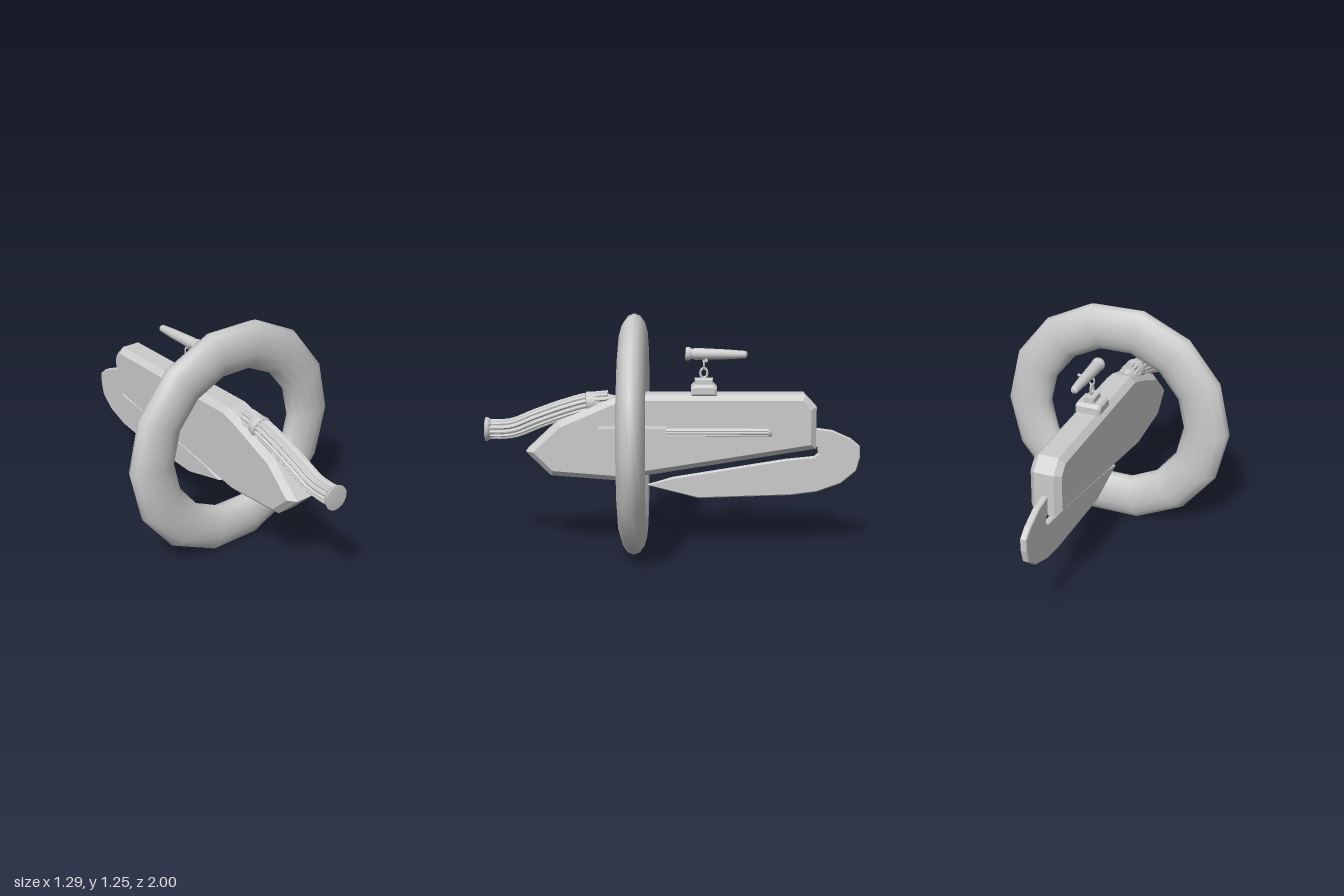
import * as THREE from 'three';

const CX = -0.01; // centre plane of the hull
const mat = new THREE.MeshStandardMaterial({ color: 0xcccccc, side: THREE.DoubleSide });

export function createModel() {
  const group = new THREE.Group();

  const add = (name, geometry, x = 0, y = 0, z = 0) => {
    const mesh = new THREE.Mesh(geometry, mat);
    mesh.name = name;
    mesh.position.set(x, y, z);
    group.add(mesh);
    return mesh;
  };

  // Side profile of [z, y] points, extruded across x with a chamfer inside its outline
  const slab = (points, width, bevel = 0) => {
    const shape = new THREE.Shape(points.map(([z, y]) => new THREE.Vector2(z, y)));
    const geometry = new THREE.ExtrudeGeometry(shape, {
      depth: width - 2 * bevel, bevelEnabled: bevel > 0, bevelSize: bevel,
      bevelOffset: -bevel, bevelThickness: bevel, bevelSegments: 1,
    });
    return geometry.translate(0, 0, bevel - width / 2).rotateY(-Math.PI / 2);
  };

  // Fluted round section swept along a path
  const fluted = (path, radius, depth, flutes, steps) => {
    const points = [];
    for (let i = 0; i < flutes * 4; i++) {
      const a = (i / (flutes * 4)) * Math.PI * 2;
      const r = i % 4 < 2 ? radius : radius - depth;
      points.push(new THREE.Vector2(Math.cos(a) * r, Math.sin(a) * r));
    }
    return new THREE.ExtrudeGeometry(new THREE.Shape(points), { steps, extrudePath: path });
  };

  // Turned part along z, from [radius, z] points
  const turned = (points, segments) => new THREE.LatheGeometry(
    points.map(([r, z]) => new THREE.Vector2(r, z)), segments).rotateX(Math.PI / 2);

  // Large flattened ring around the hull
  add('ring', new THREE.TorusGeometry(0.516, 0.127, 14, 14).scale(1, 1, 0.58), 0, 0.633, 0.207);

  // Chamfered hull
  add('hull', slab([
    [0.78, 0.545], [0.65, 0.415], [0.31, 0.388], [-0.757, 0.56], [-0.757, 0.785],
    [-0.695, 0.85], [0.25, 0.85], [0.33, 0.825], [0.61, 0.705],
  ], 0.163, 0.03), CX);

  // Thin fin hooked onto the stern
  add('fin', slab([
    [0.137, 0.352], [-0.136, 0.28], [-0.63, 0.297], [-0.77, 0.315], [-0.9, 0.362],
    [-0.98, 0.43], [-0.998, 0.5], [-0.998, 0.565], [-0.95, 0.605], [-0.85, 0.65],
    [-0.74, 0.665], [-0.74, 0.57], [-0.77, 0.555], [-0.775, 0.525], [-0.755, 0.508],
    [-0.6, 0.492], [0, 0.393],
  ], 0.034, 0.006), CX);

  // Fluted hose at the bow, with fairing and end flange
  const hosePath = new THREE.CatmullRomCurve3(
    [[0.34, 0.81], [0.45, 0.798], [0.57, 0.765], [0.72, 0.712], [0.84, 0.664], [0.9, 0.655], [0.975, 0.655]]
      .map(([z, y]) => new THREE.Vector3(-0.014, y, z)));
  add('hose', fluted(hosePath, 0.054, 0.008, 13, 24));
  add('hoseFlange', turned([[0, 0], [0.052, 0], [0.058, 0.008], [0.065, 0.022], [0.065, 0.028], [0, 0.028]], 20),
    -0.014, 0.655, 0.97);
  const fairing = add('hoseFairing', turned(
    [[0, 0], [0.02, 0.03], [0.042, 0.09], [0.056, 0.15], [0.06, 0.175], [0.052, 0.185], [0, 0.185]], 18),
    -0.014, 0.822, 0.275);
  fairing.rotation.x = 0.14;

  // Side weapon: wedge housing, fluted barrel, lower plate and bracket
  add('gunHousing', slab([[0.39, 0.69], [0.39, 0.63], [0.2, 0.58], [0.035, 0.57], [0.035, 0.69]], 0.077), 0.129);
  const barrelPath = new THREE.LineCurve3(new THREE.Vector3(0.096, 0.658, 0.06), new THREE.Vector3(0.096, 0.658, -0.5));
  add('gunBarrel', fluted(barrelPath, 0.021, 0.004, 8, 1));
  add('gunMuzzle', turned([[0, 0], [0.022, 0], [0.022, 0.022], [0, 0.022]], 12), 0.096, 0.658, -0.518);
  add('gunLowerPlate', slab([[0.32, 0.54], [-0.07, 0.54], [-0.17, 0.63], [-0.17, 0.645], [0.32, 0.645]], 0.028), 0.107);
  add('gunBracket', new THREE.BoxGeometry(0.04, 0.045, 0.26), 0.08, 0.658, 0.18);

  // Stepped sight mount on the deck
  add('mountBase', slab([
    [-0.095, 0.84], [-0.095, 0.885], [-0.11, 0.9], [-0.215, 0.9], [-0.232, 0.885], [-0.232, 0.84],
  ], 0.138, 0.012), -0.012);
  add('mountCap', slab([[-0.115, 0.89], [-0.115, 0.93], [-0.212, 0.93], [-0.212, 0.89]], 0.056, 0.006), -0.012);

  // Two crossed links carry the sight
  add('lowerLink', new THREE.TorusGeometry(0.019, 0.006, 6, 12).rotateY(Math.PI / 2).scale(1, 1.35, 1), -0.01, 0.957, -0.163);
  add('upperLink', new THREE.TorusGeometry(0.014, 0.005, 6, 12).scale(1, 1.5, 1), -0.01, 1.003, -0.163);
  add('linkEye', new THREE.CylinderGeometry(0.008, 0.008, 0.03, 8), -0.01, 1.03, -0.163);

  // Tapered sight with flared front and a side knob
  const sight = add('sight', turned([
    [0, -0.235], [0.016, -0.235], [0.02, -0.222], [0.026, -0.13], [0.032, 0.04], [0.027, 0.05],
    [0.027, 0.058], [0.035, 0.068], [0.035, 0.085], [0.028, 0.09], [0, 0.09],
  ], 14), -0.01, 1.058, -0.155);
  sight.rotation.x = -0.015;
  add('sightKnob', new THREE.CylinderGeometry(0.008, 0.008, 0.05, 8).rotateZ(Math.PI / 2), 0.035, 1.03, -0.175);

  return group;
}
